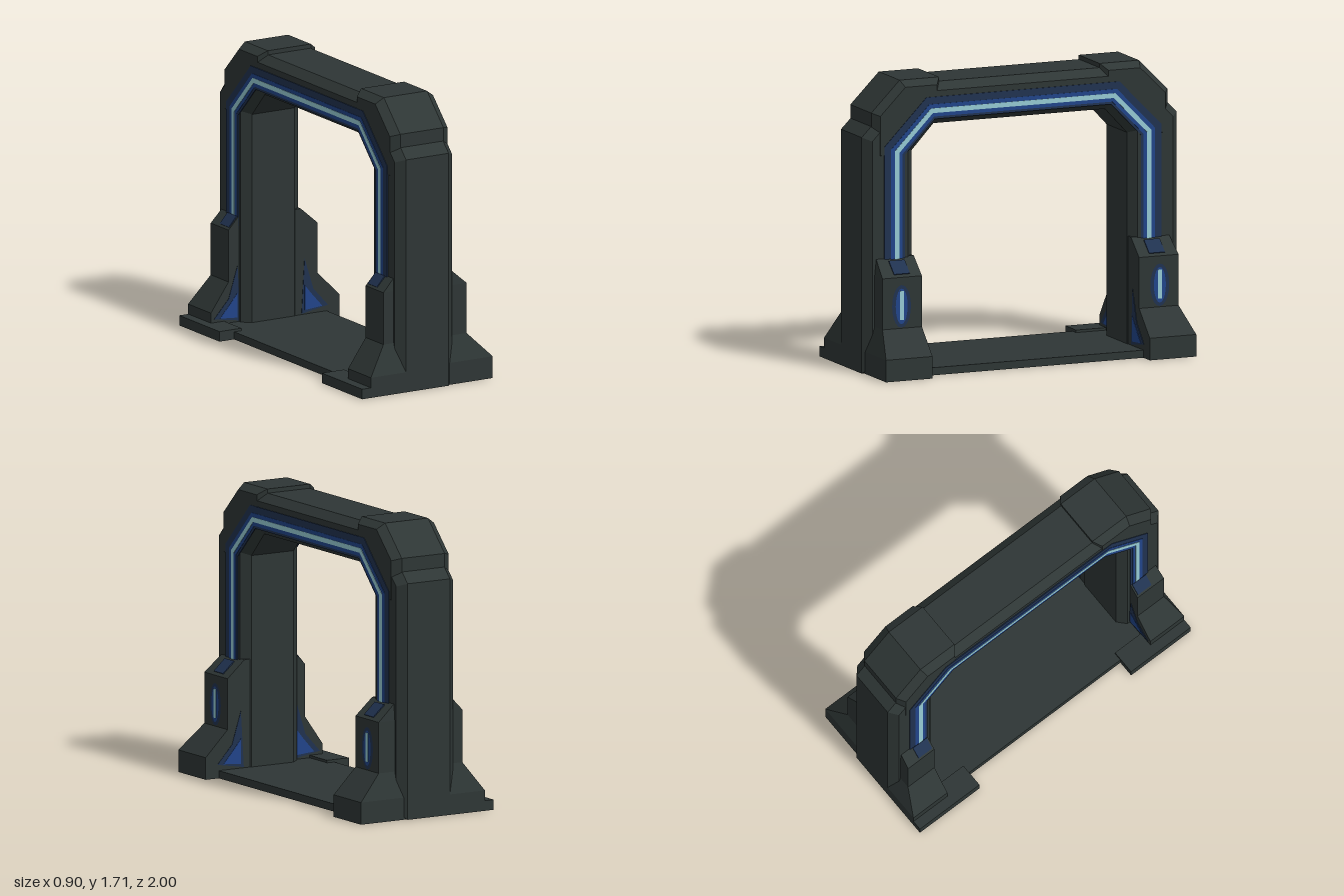
import * as THREE from 'three';

const paint = (name, color) => Object.assign(new THREE.MeshStandardMaterial({ color }), { name });

export function createModel() {
  const metal = paint('dark metal', 0x2e3635);
  const haze = paint('faint blue glow', 0x203250);
  const glow = paint('blue glow', 0x21448a);
  const light = paint('pale light', 0x96cbd4);
  const gate = new THREE.Group();
  gate.name = 'gate';

  const add = (name, geometry, material, x = 0, y = 0, z = 0) => {
    const mesh = new THREE.Mesh(geometry, material);
    mesh.name = name;
    mesh.position.set(x, y, z);
    gate.add(mesh);
    return mesh;
  };
  const shapeOf = pts => new THREE.Shape(pts.map(p => new THREE.Vector2(p[0], p[1])));
  const mirrored = pts => [...pts, ...pts.map(([z, y]) => [-z, y]).reverse()];

  // Extrudes a (z, y) outline along x from x0 to x1, with optional chamfered edges
  const slab = (pts, x0, x1, size = 0, thick = 0) => {
    const g = new THREE.ExtrudeGeometry(shapeOf(pts), {
      depth: x1 - x0 - 2 * thick, bevelEnabled: size > 0, bevelSegments: 1,
      bevelSize: size, bevelThickness: thick, bevelOffset: -size,
    });
    return g.translate(0, 0, x0 + thick).rotateY(Math.PI / 2);
  };

  // Lofts rectangular sections [y, outer x, inner z, outer z] into one corner of the gate
  const loft = (sections, xIn, sx, sz) => {
    const pos = [], idx = [];
    const tri = (a, b, c) => (sx * sz > 0 ? idx.push(a, b, c) : idx.push(a, c, b));
    for (const [y, x, z0, z1] of sections) {
      for (const [px, pz] of [[xIn, z0], [x, z0], [x, z1], [xIn, z1]]) pos.push(sx * px, y, sz * pz);
    }
    const top = (sections.length - 1) * 4;
    for (let r = 0; r < top; r += 4) {
      for (let k = 0; k < 4; k++) {
        const a = r + k, b = r + (k + 1) % 4;
        tri(a, a + 4, b + 4);
        tri(a, b + 4, b);
      }
    }
    tri(0, 1, 2); tri(0, 2, 3);
    tri(top, top + 3, top + 2); tri(top, top + 2, top + 1);
    const g = new THREE.BufferGeometry();
    g.setAttribute('position', new THREE.Float32BufferAttribute(pos, 3));
    g.setIndex(idx);
    const flat = g.toNonIndexed();
    flat.computeVertexNormals();
    return flat;
  };

  // Arch of two columns and a beam
  const outer = mirrored([[1, 0], [1, 1.39], [0.705, 1.685]]);
  const inner = mirrored([[0.685, 0], [0.685, 1.29], [0.545, 1.44]]).reverse();
  add('arch', slab([...outer, ...inner], -0.2, 0.19, 0.045, 0.05), metal);

  // Floor between the columns
  add('floor', new THREE.BoxGeometry(0.71, 0.045, 1.9), metal, 0.005, 0.0225, 0);

  // Corner caps
  const cap = [[0.51, 1.71], [0.76, 1.71], [0.94, 1.53], [0.94, 1.25], [0.75, 1.25], [0.75, 1.3], [0.57, 1.48], [0.51, 1.48]];
  for (const s of [1, -1]) {
    add('cornerCap', slab(cap.map(([z, y]) => [s * z, y]), -0.202, 0.192, 0.035, 0.05), metal);
  }

  // Light band following the arch, with glow bands around it
  const line = (d, y) => mirrored([[0.8 + d, y], [0.8 + d, 1.3 + 0.414 * d], [0.58 + 0.414 * d, 1.525 + d]]);
  const band = (dIn, dOut, y) => [...line(dOut, y), ...line(-dIn, y).reverse()];
  const bands = [
    ['outerGlow', band(0.05, 0.08, 0.6), 0.005, haze],
    ['innerGlow', band(0.035, 0.038, 0.62), 0.007, glow],
    ['lightStrip', band(0.014, 0.014, 0.64), 0.009, light],
  ];
  for (const [name, pts, h, mat] of bands) {
    add(name, slab(pts, 0.19, 0.19 + h), mat);
    add(name, slab(pts, -0.2 - h, -0.2), mat);
  }

  // Flared feet and side pads at each corner
  const leftFoot = [
    [0, 0.45, 0.69, 0.985], [0.13, 0.45, 0.69, 0.985], [0.28, 0.3, 0.69, 0.94],
    [0.58, 0.3, 0.69, 0.94], [0.68, 0.185, 0.69, 0.93],
  ];
  const rightFoot = [
    [0, 0.39, 0.75, 1], [0.12, 0.39, 0.75, 1], [0.29, 0.27, 0.75, 0.945],
    [0.6, 0.27, 0.75, 0.945], [0.68, 0.195, 0.75, 0.94],
  ];
  const patch = (sx, depth, pts) => new THREE.ExtrudeGeometry(
    shapeOf(pts.map(([x, y]) => [sx * x, y])), { depth, bevelEnabled: false }).translate(0, 0, -depth / 2);

  for (const s of [1, -1]) {
    add('leftFoot', loft(leftFoot, 0.1, 1, s), metal);
    add('rightFoot', loft(rightFoot, 0.1, -1, s), metal);
    add('footPlate', new THREE.BoxGeometry(0.15, 0.06, 0.44), metal, -0.375, 0.03, s * 0.78);

    // Short lamp on the left pad
    const halo = (w, h) => new THREE.CircleGeometry(1, 20).scale(w, h, 1).rotateY(Math.PI / 2);
    add('padOuterGlow', halo(0.06, 0.125), haze, 0.302, 0.41, s * 0.82);
    add('padInnerGlow', halo(0.038, 0.105), glow, 0.304, 0.41, s * 0.82);
    add('padLamp', new THREE.BoxGeometry(0.008, 0.17, 0.024), light, 0.303, 0.415, s * 0.82);

    // Glow on the sloping pad tops
    const tops = [[0.247, 0.629, -0.738, 0.1], [-0.233, 0.642, 0.852, 0.08]];
    for (const [x, y, turn, len] of tops) {
      add('padTopGlow', new THREE.BoxGeometry(len, 0.008, 0.1), haze, x, y, s * 0.81).rotation.z = turn;
    }

    // Glow on the inner faces of the feet
    const wide = [[0.19, 0.05], [0.37, 0.08], [0.27, 0.19], [0.21, 0.38]];
    const small = [[0.21, 0.07], [0.33, 0.08], [0.25, 0.17], [0.21, 0.22]];
    for (const [sx, z] of [[1, 0.69], [-1, 0.75]]) {
      add('footGlow', patch(sx, 0.005, wide), haze, 0, 0, s * z);
      add('footGlowCore', patch(sx, 0.008, small), glow, 0, 0, s * z);
    }
  }
  return gate;
}
